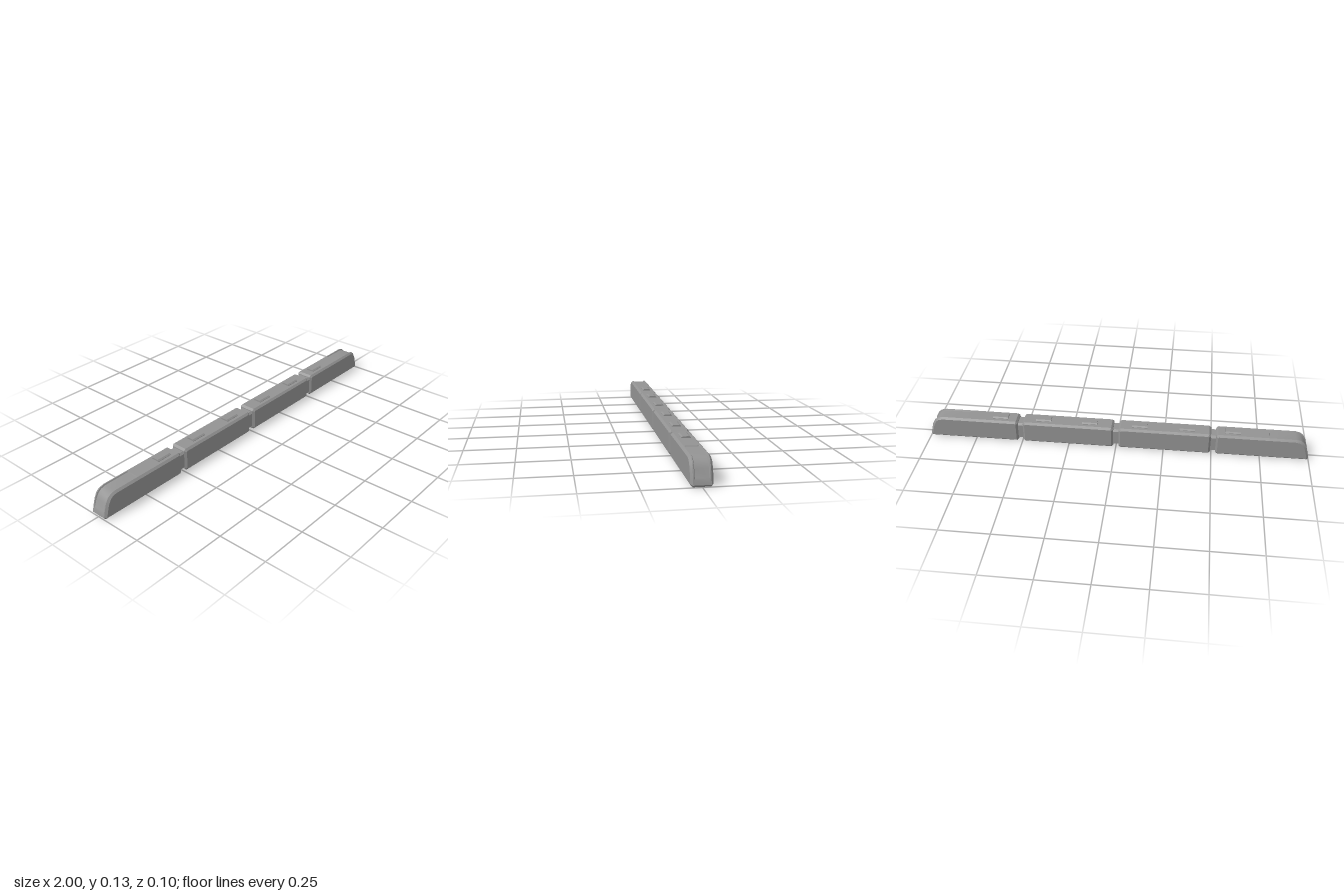
import * as THREE from 'three';
import { toCreasedNormals } from 'three/addons/utils/BufferGeometryUtils.js';

const material = new THREE.MeshStandardMaterial({ color: 0x939393 });

// Move every corner of a counter-clockwise outline inwards; amount may vary per corner.
function inset(outline, amount) {
  const n = outline.length;
  const normal = (a, b) => {
    const dx = b[0] - a[0], dy = b[1] - a[1], l = Math.hypot(dx, dy);
    return [-dy / l, dx / l];
  };
  return outline.map((p, i) => {
    const u = normal(outline[(i + n - 1) % n], p);
    const v = normal(p, outline[(i + 1) % n]);
    const k = amount(i) / (1 + u[0] * v[0] + u[1] * v[1]);
    return [p[0] + (u[0] + v[0]) * k, p[1] + (u[1] + v[1]) * k];
  });
}

// Join side outlines stacked along z into a closed solid.
function stack(layers) {
  const n = layers[0].outline.length, pos = [], idx = [];
  layers.forEach(({ z, outline }) => outline.forEach(([x, y]) => pos.push(x, y, z)));
  for (let k = 0; k < layers.length - 1; k++) {
    for (let i = 0; i < n; i++) {
      const j = (i + 1) % n, a = k * n + i, b = k * n + j;
      idx.push(a, b, b + n, a, b + n, a + n);
    }
  }
  const last = (layers.length - 1) * n;
  for (let i = 1; i < n - 1; i++) {
    idx.push(0, i + 1, i, last, last + i, last + i + 1);
  }
  const g = new THREE.BufferGeometry();
  g.setAttribute('position', new THREE.Float32BufferAttribute(pos, 3));
  g.setIndex(idx);
  return toCreasedNormals(g.toNonIndexed(), 0.45);
}

// Body with chamfered long edges; recess lowers a centre strip, one depth per corner.
function body(outline, halfWidth, recess) {
  const half = [
    { z: halfWidth, outline: inset(outline, () => 0.01) },
    { z: halfWidth - 0.01, outline },
  ];
  if (recess) {
    half.push({ z: 0.033, outline });
    half.push({ z: 0.03, outline: inset(outline, i => recess[i]) });
  }
  const back = half.map(l => ({ z: -l.z, outline: l.outline }));
  return stack([...back, ...half.reverse()]);
}

// Rectangle with cut corners
const block = (x0, x1, y0, y1, c) => [
  [x0 + c, y0], [x1 - c, y0], [x1, y0 + c], [x1, y1 - c],
  [x1 - c, y1], [x0 + c, y1], [x0, y1 - c], [x0, y0 + c],
];

export function createModel() {
  const model = new THREE.Group();
  const add = (name, geometry) => {
    const mesh = new THREE.Mesh(geometry, material);
    mesh.name = name;
    model.add(mesh);
    return mesh;
  };

  // End cars: sloping nose with a sunken windscreen strip. Each row is x, y, recess depth.
  const nose = [
    [0.53, 0, 0], [0.992, 0, 0], [1, 0.009, 0], [0.995, 0.03, 0], [0.993, 0.038, 0.003],
    [0.982, 0.075, 0.005], [0.968, 0.1, 0.006], [0.95, 0.114, 0.006],
    [0.925, 0.12, 0.005], [0.791, 0.12, 0.004], [0.789, 0.12, 0],
    [0.53, 0.12, 0], [0.52, 0.11, 0], [0.52, 0.01, 0],
  ];
  const endCar = body(nose.map(p => [p[0], p[1]]), 0.048, nose.map(p => p[2]));
  add('leftEndCar', endCar);
  add('rightEndCar', endCar).rotation.y = Math.PI;

  // Middle cars
  const middleCar = body(block(0.014, 0.494, 0, 0.12, 0.01), 0.048);
  add('leftMiddleCar', middleCar);
  add('rightMiddleCar', middleCar).rotation.y = Math.PI;

  // Gangways between the cars
  const gangway = body(block(-0.035, 0.035, 0.012, 0.106, 0.003), 0.038);
  for (const x of [-0.507, 0, 0.507]) add('gangway', gangway).position.x = x;

  // Roof units with sloping long sides
  const section = new THREE.Shape([
    [-0.022, 0.118], [0.022, 0.118], [0.022, 0.122], [0.015, 0.128], [-0.015, 0.128], [-0.022, 0.122],
  ].map(p => new THREE.Vector2(...p)));
  const roofUnit = new THREE.ExtrudeGeometry(section, { depth: 0.08, bevelEnabled: false });
  roofUnit.translate(0, 0, -0.04).rotateY(Math.PI / 2);
  for (const x of [-0.605, -0.37, -0.123, 0.14, 0.385, 0.615]) {
    add('roofUnit', roofUnit).position.x = x;
  }
  return model;
}
